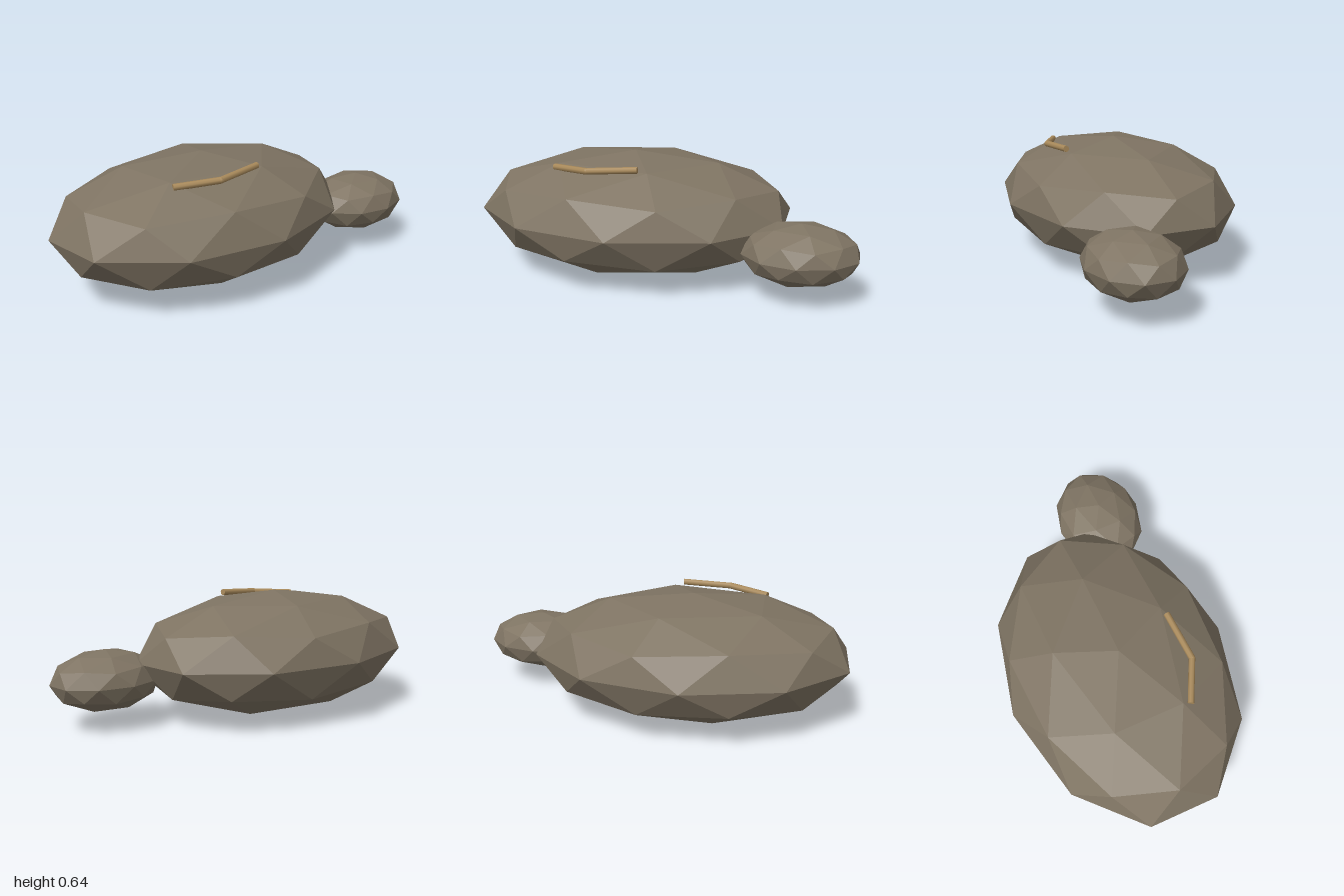
import * as THREE from 'three';

const stone = new THREE.MeshStandardMaterial({ color: 0x7f7463, flatShading: true });
stone.name = 'stone brown';
const wood = new THREE.MeshStandardMaterial({ color: 0xa98a5b });
wood.name = 'twig tan';

// Faceted boulder: a once-divided icosahedron standing on a vertex, then squashed
function boulder(name, radii, center) {
  const g = new THREE.IcosahedronGeometry(1, 1);
  g.rotateX(-Math.atan2((1 + Math.sqrt(5)) / 2, 1));
  g.rotateY(Math.PI / 2);
  g.scale(...radii);
  g.computeVertexNormals();
  const mesh = new THREE.Mesh(g, stone);
  mesh.name = name;
  mesh.position.set(...center);
  return mesh;
}

// Straight stick between two points
function stick(name, a, b, radius) {
  const dir = b.clone().sub(a);
  const mesh = new THREE.Mesh(new THREE.CylinderGeometry(radius, radius, dir.length(), 8), wood);
  mesh.name = name;
  mesh.position.copy(a).add(b).multiplyScalar(0.5);
  mesh.quaternion.setFromUnitVectors(new THREE.Vector3(0, 1, 0), dir.normalize());
  return mesh;
}

export function createModel() {
  const model = new THREE.Group();
  model.name = 'rocksWithTwig';

  // Large and small rocks
  model.add(boulder('largeRock', [0.85, 0.322, 0.595], [-0.192, 0.322, 0]));
  model.add(boulder('smallRock', [0.298, 0.155, 0.235], [0.716, 0.24, 0.295]));

  // Bent twig lying on the large rock
  const r = 0.017;
  const start = new THREE.Vector3(-0.565, 0.583, 0.22);
  const bend = new THREE.Vector3(-0.36, 0.597, 0.325);
  const end = new THREE.Vector3(-0.1, 0.613, 0.308);
  const twig = new THREE.Group();
  twig.name = 'twig';
  twig.add(stick('twigLeft', start, bend, r), stick('twigRight', bend, end, r));
  const knee = new THREE.Mesh(new THREE.SphereGeometry(r, 8, 6), wood);
  knee.name = 'twigBend';
  knee.position.copy(bend);
  twig.add(knee);
  model.add(twig);

  return model;
}
